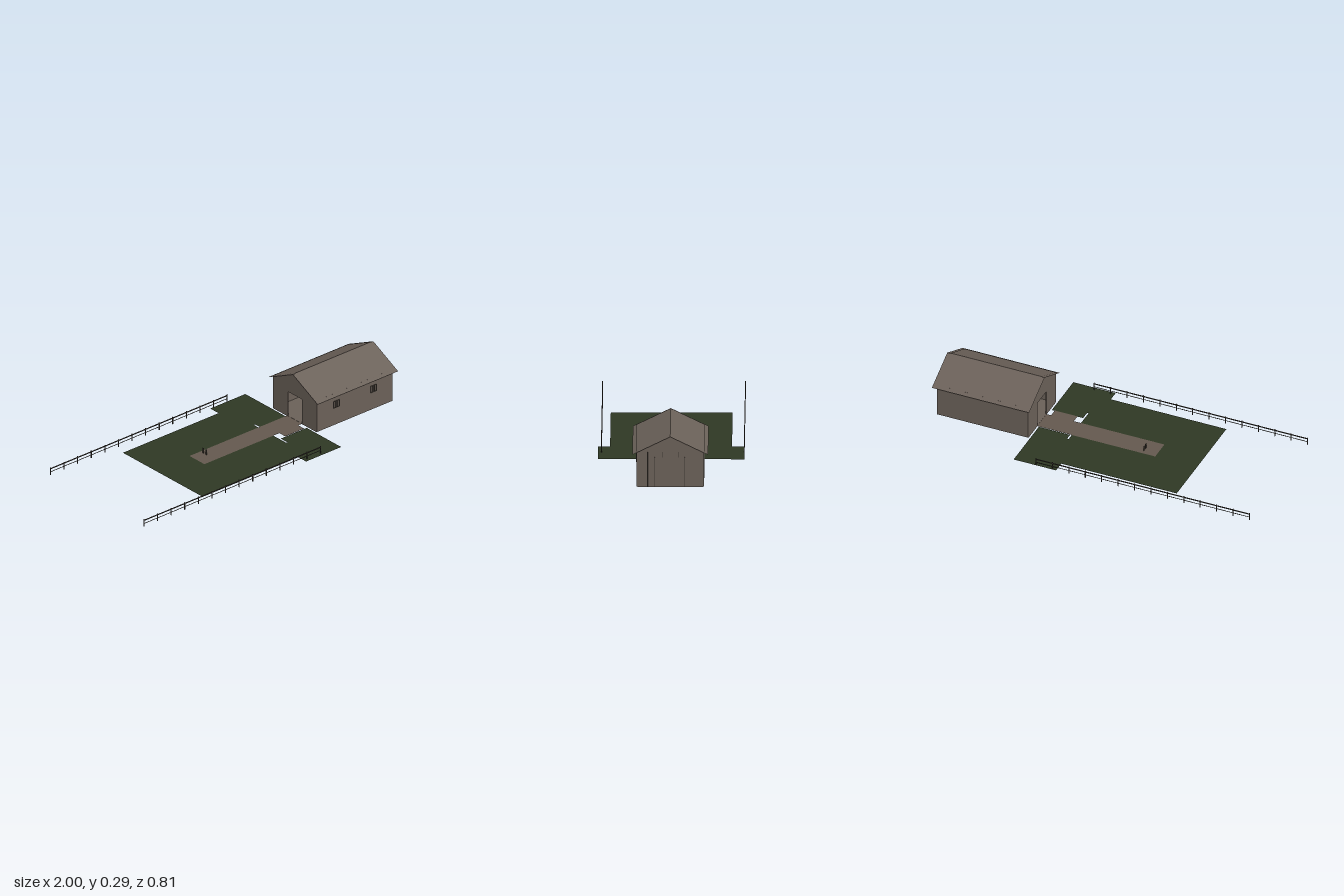
import * as THREE from 'three';

const mat = (name, color) => {
  const m = new THREE.MeshStandardMaterial({ color, side: THREE.DoubleSide });
  m.name = name;
  return m;
};

export function createModel() {
  const wood = mat('weathered wood', 0x6a6058);
  const grass = mat('grass', 0x2e3824);
  const dirt = mat('dirt path', 0x63584e);
  const dark = mat('dark timber', 0x3d3731);

  const root = new THREE.Group();
  root.name = 'stableYard';

  const group = (name) => {
    const g = new THREE.Group();
    g.name = name;
    root.add(g);
    return g;
  };
  const add = (parent, name, geo, material) => {
    const m = new THREE.Mesh(geo, material);
    m.name = name;
    parent.add(m);
    return m;
  };
  // Box given by its minimum and maximum corners
  const box = (parent, name, [x0, y0, z0], [x1, y1, z1], material) => {
    const m = add(parent, name, new THREE.BoxGeometry(x1 - x0, y1 - y0, z1 - z0), material);
    m.position.set((x0 + x1) / 2, (y0 + y1) / 2, (z0 + z1) / 2);
    return m;
  };
  const outline = (pts) => new THREE.Shape(pts.map(([a, b]) => new THREE.Vector2(a, b)));
  // Flat ground sheet from [x, z] corners
  const ground = (name, pts, y, material) => {
    const geo = new THREE.ShapeGeometry(outline(pts.map(([x, z]) => [x, -z])));
    geo.rotateX(-Math.PI / 2);
    add(root, name, geo, material).position.y = y;
  };

  // Lawn in two halves around the notch in front of the doorway
  ground('lawn', [
    [-0.53, -0.335], [0.165, -0.335], [0.165, -0.405], [0.42, -0.405], [0.42, -0.065],
    [0.232, -0.065], [0.232, -0.105], [0.223, -0.105], [0.223, 0.165], [0.232, 0.165],
    [0.232, 0.11], [0.42, 0.11], [0.42, 0.4], [0.165, 0.4], [0.165, 0.335], [-0.53, 0.335],
  ], 0.001, grass);
  ground('path', [
    [-0.28, -0.065], [0.43, -0.065], [0.43, 0.06], [0.402, 0.06], [0.402, 0.11],
    [0.265, 0.11], [0.265, 0.06], [-0.28, 0.06],
  ], 0.003, dirt);

  // Barn shell
  const barn = group('barn');
  const X0 = 0.43, X1 = 0.98, Z = 0.186, T = 0.006, WALL = 0.2, APEX = 0.289;
  box(barn, 'floor', [X0, 0, -0.18], [X1, 0.004, 0.18], wood);
  for (const s of [-1, 1]) {
    const z = s * (Z - T / 2);
    box(barn, 'sideWall', [X0 + T, 0.003, z - T / 2], [X1 - T, WALL, z + T / 2], wood);
  }
  const gable = (name, x, doorway) => {
    const pts = [[-Z, 0.003]];
    if (doorway) pts.push([-0.06, 0.003], [-0.06, 0.155], [0.06, 0.155], [0.06, 0.003]);
    pts.push([Z, 0.003], [Z, WALL], [0, APEX], [-Z, WALL]);
    const geo = new THREE.ExtrudeGeometry(outline(pts), { depth: T, bevelEnabled: false });
    geo.rotateY(Math.PI / 2);
    add(barn, name, geo, wood).position.x = x;
  };
  gable('doorwayGable', X0, true);
  gable('rearGable', X1 - T, false);

  // Roof sheets with a slightly raised inner panel
  const slope = (name, x0, x1, zEdge, lift) => {
    for (const s of [-1, 1]) {
      const top = 0.291 + lift, low = top - 0.49 * zEdge;
      const geo = new THREE.BufferGeometry();
      geo.setAttribute('position', new THREE.Float32BufferAttribute(
        [x0, top, 0, x1, top, 0, x1, low, s * zEdge, x0, low, s * zEdge], 3));
      geo.setIndex(s > 0 ? [0, 3, 2, 0, 2, 1] : [0, 2, 3, 0, 1, 2]);
      geo.computeVertexNormals();
      add(barn, name, geo, wood);
    }
  };
  slope('roof', 0.415, 1, 0.208, 0);
  slope('roofPanel', X0, X1, 0.188, 0.003);

  // Battens framing the large closed door on the far gable
  const batten = (z, y0, y1) =>
    box(barn, 'doorBatten', [X1, y0, z - 0.0015], [X1 + 0.004, y1, z + 0.0015], dark);
  batten(0.125, 0.004, 0.2);
  batten(0.084, 0.004, 0.17);
  batten(-0.081, 0.004, 0.17);
  batten(0.04, 0.17, 0.2);
  batten(-0.045, 0.17, 0.2);

  // Small framed windows on the front wall
  for (const x of [0.57, 0.84]) {
    for (const dx of [-0.021, -0.005, 0.005, 0.021])
      box(barn, 'windowBar', [x + dx - 0.001, 0.11, Z], [x + dx + 0.001, 0.15, Z + 0.004], dark);
    for (const y of [0.11, 0.15])
      box(barn, 'windowRail', [x - 0.022, y - 0.001, Z], [x + 0.022, y + 0.001, Z + 0.004], dark);
  }

  // Two long rail fences
  for (const z of [-0.403, 0.382]) {
    const fence = group('fence');
    for (let i = 0; i < 14; i++) {
      const x = -0.998 + i * 0.0988;
      box(fence, 'fencePost', [x - 0.002, 0.002, z - 0.0025], [x + 0.002, 0.047, z + 0.0025], dark);
    }
    box(fence, 'topRail', [-1, 0.037, z - 0.0015], [0.287, 0.043, z + 0.0015], dark);
    box(fence, 'lowerRail', [-1, 0.019, z - 0.001], [0.287, 0.022, z + 0.001], dark);
  }

  // Pair of thin markers at the end of the path
  for (const z of [-0.04, -0.015])
    box(root, 'pathMarker', [-0.202, 0.003, z - 0.005], [-0.2, 0.035, z + 0.005], dark);

  return root;
}
